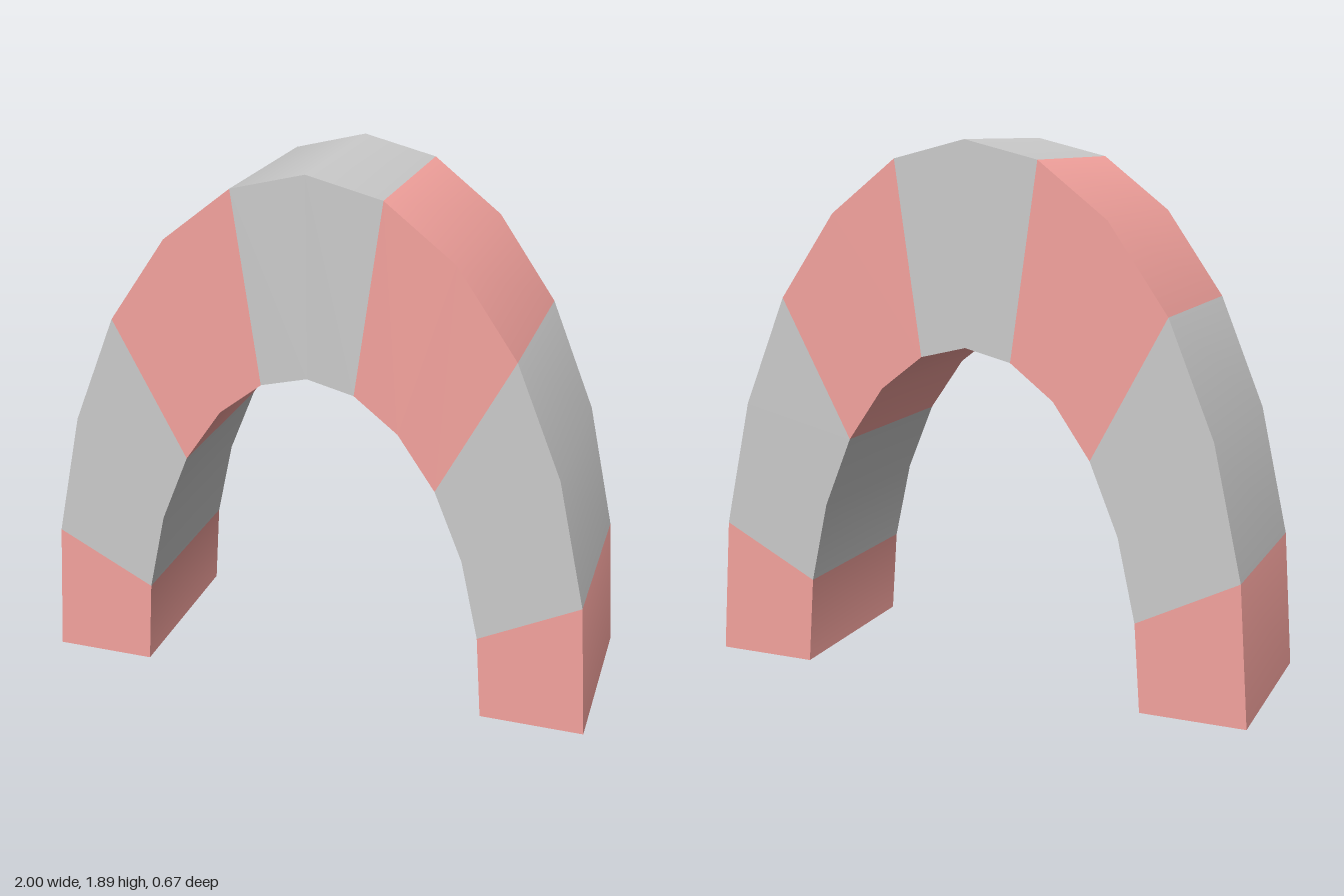
import * as THREE from 'three';

const OUTER = [1, 1.89];      // half-ellipse radii of the outside of the arch
const INNER = [0.634, 1.198]; // half-ellipse radii of the opening
const HALF_DEPTH = 0.333;
const STEPS = 12;             // facets around the arch

const stone = new THREE.MeshStandardMaterial({ color: 0xcccccc });
const red = new THREE.MeshStandardMaterial({ color: 0xf5a39e });

// One block of the arch between two steps, smooth along the curve, crisp at the edges
function archBlock(from, to) {
  const pos = [], nor = [];
  const point = ([rx, ry], step, z) => {
    const a = (Math.PI * step) / STEPS;
    return [Math.cos(a) * rx, Math.sin(a) * ry, z];
  };
  const curveNormal = ([rx, ry], sign) => (p) =>
    new THREE.Vector3(p[0] / (rx * rx), p[1] / (ry * ry), 0).normalize().multiplyScalar(sign).toArray();
  const flat = (x, y, z) => () => [x, y, z];
  const quad = (corners, normal) => {
    for (const i of [0, 1, 2, 0, 2, 3]) {
      pos.push(...corners[i]);
      nor.push(...normal(corners[i]));
    }
  };
  const section = (step) => ({
    outF: point(OUTER, step, HALF_DEPTH), outB: point(OUTER, step, -HALF_DEPTH),
    inF: point(INNER, step, HALF_DEPTH), inB: point(INNER, step, -HALF_DEPTH),
  });

  for (let s = from; s < to; s++) {
    const a = section(s), b = section(s + 1);
    quad([a.outB, b.outB, b.outF, a.outF], curveNormal(OUTER, 1));
    quad([a.inF, b.inF, b.inB, a.inB], curveNormal(INNER, -1));
    quad([a.inF, a.outF, b.outF, b.inF], flat(0, 0, 1));
    quad([b.inB, b.outB, a.outB, a.inB], flat(0, 0, -1));
  }

  // Undersides of the two feet
  const foot = (c) => [c.inB, c.outB, c.outF, c.inF];
  if (from === 0) quad(foot(section(0)), flat(0, -1, 0));
  if (to === STEPS) quad(foot(section(STEPS)).reverse(), flat(0, -1, 0));

  const geo = new THREE.BufferGeometry();
  geo.setAttribute('position', new THREE.Float32BufferAttribute(pos, 3));
  geo.setAttribute('normal', new THREE.Float32BufferAttribute(nor, 3));
  return geo;
}

export function createModel() {
  const group = new THREE.Group();
  group.name = 'arch';

  // Alternating blocks from the left foot over the keystone to the right foot
  const bounds = [0, 1, 3, 5, 7, 9, 11, 12];
  const names = ['leftFoot', 'leftLowerBlock', 'leftUpperBlock', 'keystone',
    'rightUpperBlock', 'rightLowerBlock', 'rightFoot'];
  names.forEach((name, i) => {
    const mesh = new THREE.Mesh(archBlock(bounds[i], bounds[i + 1]), i % 2 ? stone : red);
    mesh.name = name;
    group.add(mesh);
  });
  return group;
}
